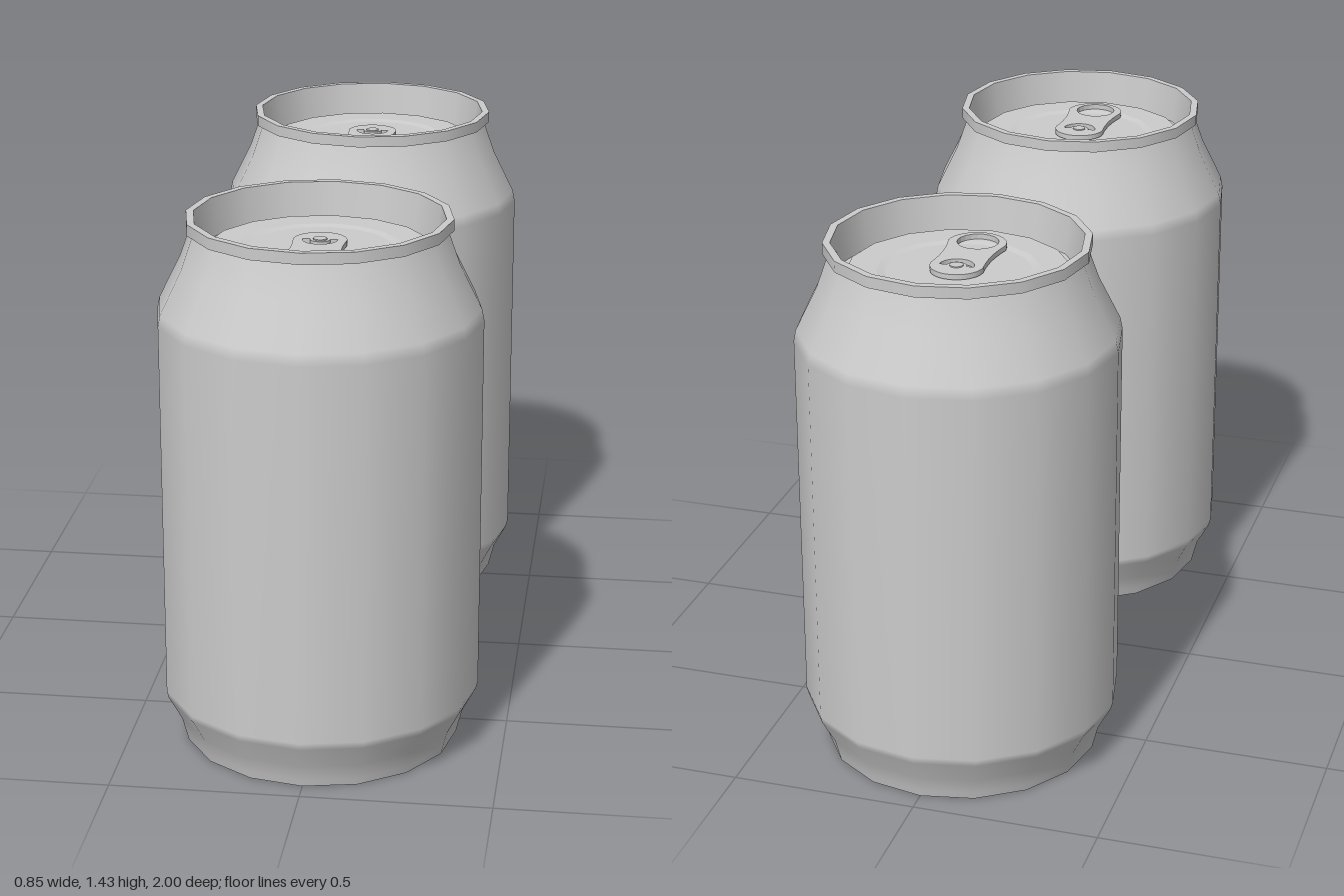
import * as THREE from 'three';

const SIDES = 16;
const material = new THREE.MeshStandardMaterial({ color: 0xcccccc });

function mesh(name, geometry) {
  const m = new THREE.Mesh(geometry, material);
  m.name = name;
  return m;
}

// One smooth surface of revolution; profiles run bottom centre -> outside -> top centre
function lathe(name, profile) {
  return mesh(name, new THREE.LatheGeometry(profile.map(([r, y]) => new THREE.Vector2(r, y)), SIDES));
}

// Separate lathes for every profile segment, so each edge stays sharp
function sharpLathe(name, profile) {
  const group = new THREE.Group();
  group.name = name;
  for (let i = 0; i < profile.length - 1; i++) {
    group.add(lathe(name + 'Ring' + (i + 1), [profile[i], profile[i + 1]]));
  }
  return group;
}

// Pull tab: rounded outline with a finger hole and a crescent slot round the rivet
function pullTab() {
  const shape = new THREE.Shape();
  shape.absarc(0, -0.01, 0.07, Math.PI, Math.PI * 2, false);
  shape.quadraticCurveTo(0.058, 0.075, 0.078, 0.155);
  shape.absarc(0, 0.155, 0.078, 0, Math.PI, false);
  shape.quadraticCurveTo(-0.058, 0.075, -0.07, -0.01);

  const finger = new THREE.Path();
  finger.absarc(0, 0.165, 0.055, 0, Math.PI * 2, true);
  const slot = new THREE.Path();
  slot.absarc(0, -0.015, 0.046, 0, Math.PI, false);
  slot.absarc(0, -0.015, 0.026, Math.PI, 0, true);
  shape.holes.push(finger, slot);

  const geometry = new THREE.ExtrudeGeometry(shape, { depth: 0.014, bevelEnabled: false, curveSegments: 10 });
  geometry.rotateX(Math.PI / 2);
  geometry.translate(0, 1.366, 0);
  return mesh('pullTab', geometry);
}

function can(name, z) {
  const group = new THREE.Group();
  group.name = name;

  // Hollow underside and foot ring
  group.add(lathe('baseDome', [[0, 0.095], [0.21, 0.085], [0.3, 0.05], [0.335, 0.005]]));
  group.add(sharpLathe('footRing', [[0.335, 0.005], [0.345, 0], [0.368, 0]]));

  // Outer wall: tapered foot, straight side, shoulder and neck
  group.add(lathe('body', [
    [0.368, 0], [0.373, 0.02], [0.385, 0.065], [0.42, 0.13], [0.425, 0.15],
    [0.425, 1.17], [0.419, 1.2], [0.362, 1.315], [0.33, 1.405],
  ]));

  // Rolled rim and the inner wall down to the lid
  group.add(sharpLathe('rim', [
    [0.33, 1.405], [0.345, 1.405], [0.345, 1.435], [0.325, 1.435], [0.312, 1.335],
  ]));

  // Lid: groove, raised edge and a shallow dished panel
  group.add(sharpLathe('lid', [[0.312, 1.335], [0.292, 1.335], [0.288, 1.352], [0.21, 1.352], [0.19, 1.348], [0, 1.348]]));

  // Tab with its rivet
  group.add(pullTab());
  const rivet = mesh('rivet', new THREE.CylinderGeometry(0.018, 0.02, 0.022, 12));
  rivet.position.set(0, 1.358, -0.015);
  group.add(rivet);

  group.position.z = z;
  return group;
}

export function createModel() {
  const model = new THREE.Group();
  model.name = 'drinkCans';
  model.add(can('frontCan', 0.575), can('backCan', -0.575));
  return model;
}
